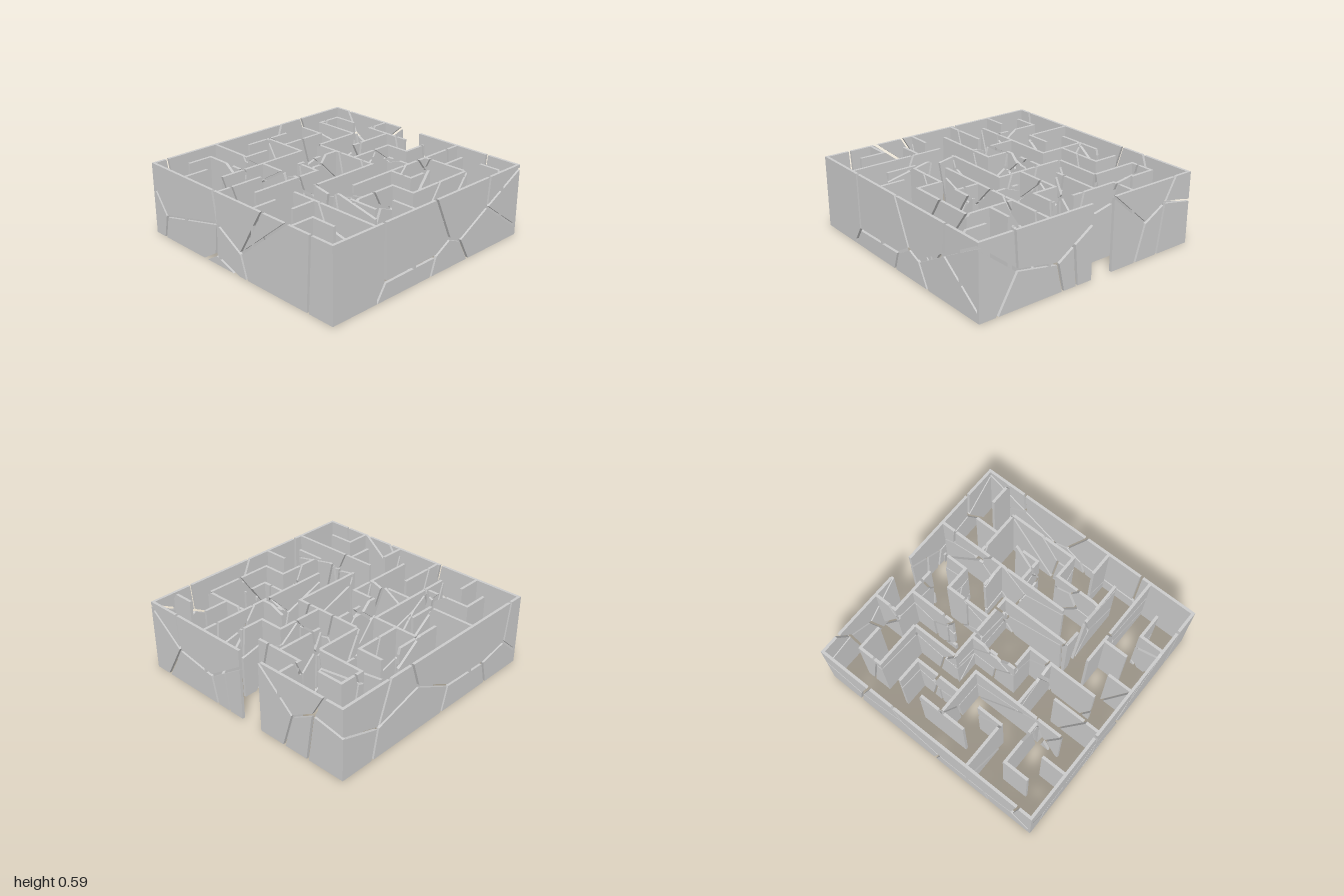
import * as THREE from 'three';
import { mergeGeometries } from 'three/addons/utils/BufferGeometryUtils.js';

const H = 0.59, T = 0.023, HALF_GAP = 0.011;
const line = i => (i - 5) * (2 - T) / 10;   // grid index 0..10 to wall centre

// Maze walls: [grid line, start, end]
const alongX = [
  [1, 1, 2], [1, 3, 5], [1, 9, 10], [2, 1, 3], [2, 5, 6], [2, 7, 9], [3, 1, 2], [3, 6, 7],
  [4, 3, 6], [4, 7, 8], [5, 1, 3], [5, 8, 9], [6, 4, 5], [6, 9, 10], [7, 0, 2], [7, 3, 5],
  [7, 6, 9], [8, 1, 3], [8, 6, 10], [9, 8, 9]];
const alongZ = [
  [1, 1, 2], [1, 4, 6], [1, 8, 9], [2, 3, 5], [2, 6, 7], [2, 9, 10], [3, 0, 1], [3, 2, 4],
  [3, 5, 9], [4, 1, 3], [4, 4, 6], [4, 8, 10], [5, 2, 4], [5, 6, 9], [6, 1, 2], [6, 4, 7],
  [6, 9, 10], [7, 0, 6], [7, 8, 9], [8, 1, 2], [8, 3, 4], [8, 5, 7], [8, 9, 10], [9, 2, 5]];

// Cracked slabs of the four outer walls, as flat lists of (along, height)
const frontCells = [
  [-1, .41, -.84, .19, -.88, 0, -1, 0],
  [-1, H, -1, .41, -.84, .19, -.2, .34, -.24, H],
  [-.84, .19, -.88, 0, -.36, 0, -.23, .08, -.2, .34],
  [-.36, 0, 0, 0, -.23, .08],
  [-.2, .34, -.23, .08, 0, 0, .12, 0, .06, .19],
  [-.24, H, -.2, .34, .06, .19, .3, H],
  [.06, .19, .3, H, .55, H],
  [.06, .19, .55, H, .79, H, .76, 0, .12, 0],
  [.79, H, .76, 0, 1, 0, 1, H]];
const leftCells = [
  [1, 0, 1, H, .51, H, .5, .14, .59, 0],
  [.59, 0, .5, .14, -.03, .15, .02, 0],
  [.51, H, .5, .14, -.03, .15, -.18, .235, -.02, H],
  [.02, 0, -.03, .15, -.18, .235, -.3, .185, -.4, 0],
  [-.02, H, -.18, .235, -.3, .185, -.61, .355, -.63, H],
  [-.4, 0, -.3, .185, -.61, .355, -1, .07, -1, 0],
  [-.61, .355, -1, .07, -1, .56],
  [-.63, H, -.61, .355, -1, .56, -1, H]];
const backCells = [
  [1, .55, .68, .295, .85, 0, 1, 0],
  [1, .55, .68, .295, .7, H, 1, H],
  [.68, .295, .85, 0, .27, 0, .32, .23],
  [.7, H, .68, .295, .32, .23, .17, .33, 0, .44, 0, H],
  [.32, .23, .27, 0, .14, 0, .17, .33],
  [.17, .33, .14, 0, 0, 0, 0, .44],
  [-.2, H, -.53, .295, -.44, 0, -.2, 0],
  [-.2, H, -.53, .295, -.73, .41, -.83, H],
  [-.53, .295, -.44, 0, -.67, 0, -.73, .41],
  [-.73, .41, -.67, 0, -1, 0, -1, .36],
  [-.83, H, -.73, .41, -1, .36, -1, H]];
const rightCells = [
  [-1, .36, -.65, .25, -.7, 0, -1, 0],
  [-1, H, -1, .36, -.65, .25, -.53, H],
  [-.53, H, -.65, .25, -.23, .38, -.3, H],
  [-.65, .25, -.7, 0, .06, 0, .12, .21, -.23, .38],
  [-.3, H, -.23, .38, .12, .21, .55, .2, .82, .26, .87, H],
  [.06, 0, .12, .21, .55, .2, .6, 0],
  [.55, .2, .6, 0, 1, 0, 1, .1, .82, .26],
  [.82, .26, 1, .1, 1, H, .87, H]];

// Keep the part of a convex polygon where a*u + b*y <= c
function clip(poly, a, b, c) {
  const out = [];
  poly.forEach((p, i) => {
    const q = poly[(i + 1) % poly.length];
    const dp = a * p.x + b * p.y - c, dq = a * q.x + b * q.y - c;
    if (dp <= 0) out.push(p);
    if (dp * dq < 0) out.push(p.clone().lerp(q, dp / (dp - dq)));
  });
  return out;
}

// Pull the crack edges of a slab inwards; straight wall edges stay put
function insetCell(flat) {
  const pts = [], mid = new THREE.Vector2();
  for (let i = 0; i < flat.length; i += 2) pts.push(new THREE.Vector2(flat[i], flat[i + 1]));
  pts.forEach(p => mid.addScaledVector(p, 1 / pts.length));
  let poly = pts;
  pts.forEach((p, i) => {
    const q = pts[(i + 1) % pts.length];
    if (p.x === q.x || p.y === q.y) return;
    const n = new THREE.Vector2(q.y - p.y, p.x - q.x).normalize();
    if (n.dot(mid) > n.dot(p)) n.negate();
    poly = clip(poly, n.x, n.y, n.dot(p) - HALF_GAP);
  });
  return poly;
}

// Fracture centres: scattered over the maze, denser towards the middle back
let state = 11;
const rand = () => (state = (state * 16807) % 2147483647) / 2147483647;
const seeds = [];
for (let i = 0; i < 34; i++) {
  const near = i < 16, r = near ? 0.4 : 1;
  seeds.push(new THREE.Vector3((rand() * 2 - 1) * r - (near ? 0.05 : 0), rand() * H,
    (rand() * 2 - 1) * r - (near ? 0.3 : 0)));
}

// Split an inner wall into the slabs belonging to each fracture centre
function fracture(u0, u1, w, axis) {
  const across = axis === 'x' ? 'z' : 'x', polys = [];
  for (const s of seeds) {
    let poly = [[u0, 0], [u1, 0], [u1, H], [u0, H]].map(p => new THREE.Vector2(...p));
    for (const t of seeds) {
      if (t === s || poly.length < 3) continue;
      const n = t.clone().sub(s), len = n.length();
      const c = (t.lengthSq() - s.lengthSq()) / 2 - n[across] * w - HALF_GAP * 0.8 * len;
      poly = clip(poly, n[axis], n.y, c);
    }
    if (poly.length > 2 && Math.abs(THREE.ShapeUtils.area(poly)) > 1e-4) polys.push(poly);
  }
  return polys;
}

const material = new THREE.MeshStandardMaterial({ color: 0xcccccc, flatShading: true });

// Extrude the slabs of one wall and stand it on its grid line
function makeWall(name, polys, w, axis) {
  const geometry = mergeGeometries(polys.map(p =>
    new THREE.ExtrudeGeometry(new THREE.Shape(p), { depth: T, bevelEnabled: false })));
  geometry.translate(0, 0, -T / 2);
  if (axis === 'z') geometry.rotateY(-Math.PI / 2);
  const mesh = new THREE.Mesh(geometry, material);
  mesh.name = name;
  mesh.position[axis === 'x' ? 'z' : 'x'] = w;
  return mesh;
}

export function createModel() {
  const model = new THREE.Group();
  model.name = 'crackedMaze';

  // Outer walls, with the entrance gap in the back
  model.add(
    makeWall('frontWall', frontCells.map(insetCell), line(10), 'x'),
    makeWall('backWall', backCells.map(insetCell), line(0), 'x'),
    makeWall('leftWall', leftCells.map(insetCell), line(10), 'z'),
    makeWall('rightWall', rightCells.map(insetCell), line(0), 'z'));

  // Inner walls
  const inner = new THREE.Group();
  inner.name = 'innerWalls';
  for (const [axis, walls] of [['x', alongX], ['z', alongZ]]) {
    for (const [k, a, b] of walls) {
      const polys = fracture(line(a) - T / 2, line(b) + T / 2, line(k), axis);
      inner.add(makeWall('innerWall', polys, line(k), axis));
    }
  }
  model.add(inner);
  return model;
}
